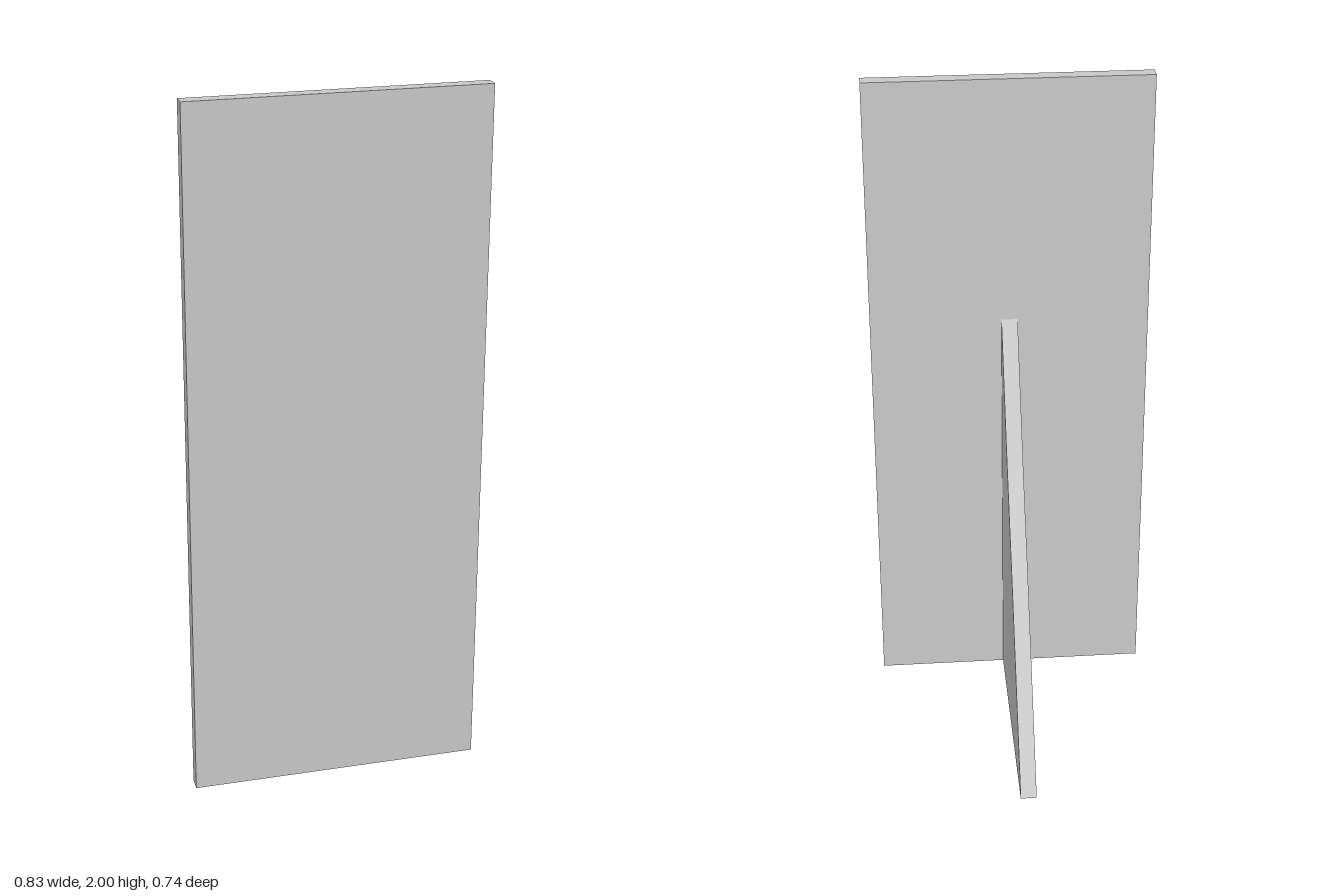
import * as THREE from 'three';

export function createModel() {
  const group = new THREE.Group();
  const material = new THREE.MeshStandardMaterial({ color: 0xcccccc, flatShading: true });

  // Upright front panel
  const front = 0.368, back = 0.327;
  const panel = new THREE.Mesh(new THREE.BoxGeometry(0.83, 2, front - back), material);
  panel.name = 'panel';
  panel.position.set(0, 1, (front + back) / 2);
  group.add(panel);

  // Rear support fin: side profile as (distance towards the back, height)
  const thickness = 0.048;
  const profile = [[-back, 0], [0.368, 0], [0.042, 0.588], [-0.117, 0.853], [-back, 1.252]];
  const shape = new THREE.Shape(profile.map(([d, y]) => new THREE.Vector2(d, y)));
  const finGeometry = new THREE.ExtrudeGeometry(shape, { depth: thickness, bevelEnabled: false });
  finGeometry.translate(0, 0, -thickness / 2).rotateY(Math.PI / 2);
  const fin = new THREE.Mesh(finGeometry, material);
  fin.name = 'supportFin';
  group.add(fin);

  return group;
}
